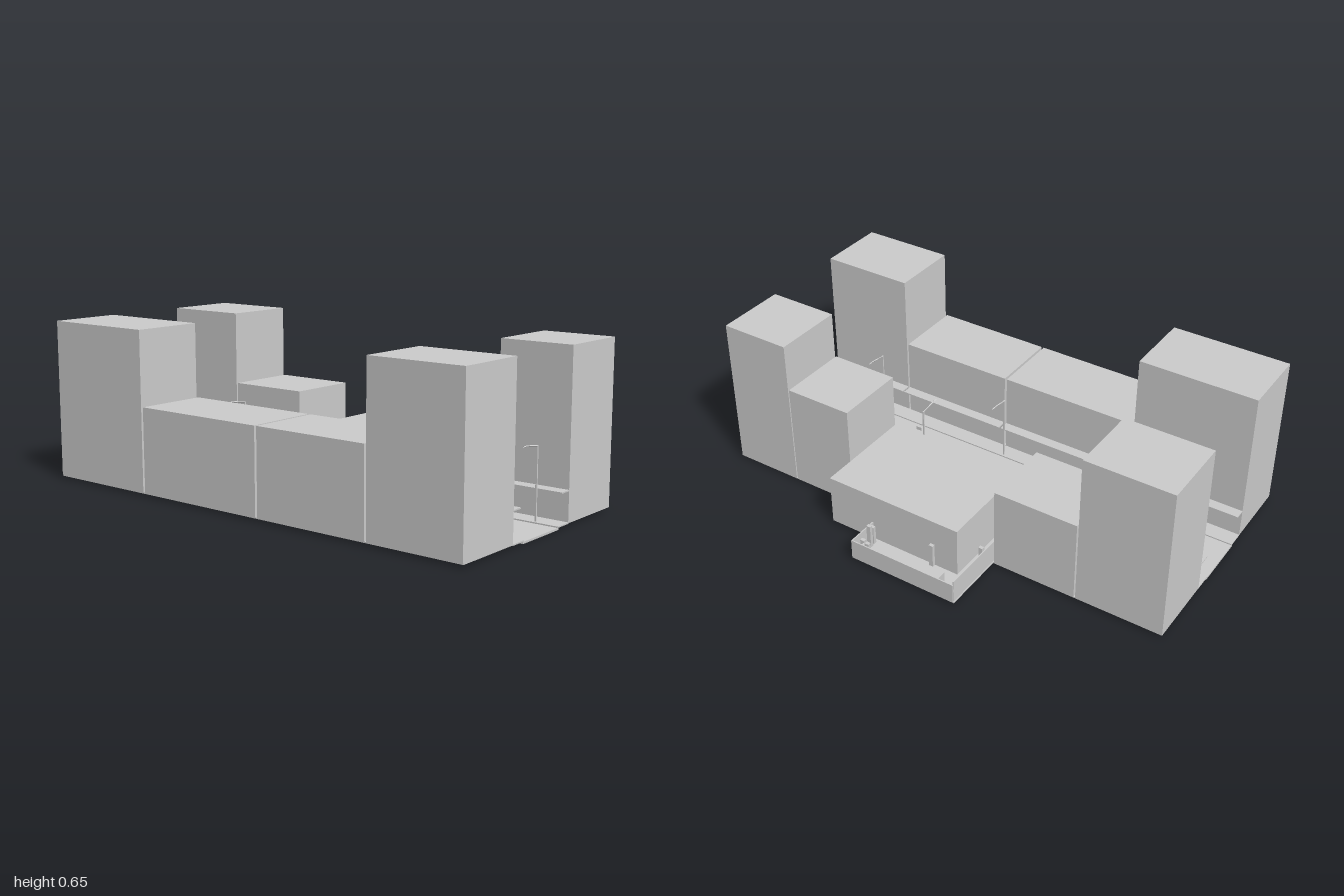
import * as THREE from 'three';

const mat = new THREE.MeshStandardMaterial({ color: 0xcccccc, flatShading: true, side: THREE.DoubleSide });

// Box given by its extents along each axis
function block(parent, name, [x0, x1], [y0, y1], [z0, z1]) {
  const mesh = new THREE.Mesh(new THREE.BoxGeometry(x1 - x0, y1 - y0, z1 - z0), mat);
  mesh.position.set((x0 + x1) / 2, (y0 + y1) / 2, (z0 + z1) / 2);
  mesh.name = name;
  parent.add(mesh);
  return mesh;
}

function group(parent, name) {
  const g = new THREE.Group();
  g.name = name;
  parent.add(g);
  return g;
}

// Street lamp: thin post with a slightly rising arm over the road (dir = +1 or -1 in z)
function streetLamp(parent, x, z, dir) {
  const lamp = group(parent, 'streetLamp');
  block(lamp, 'lampPost', [x - 0.003, x + 0.003], [0.012, 0.292], [z - 0.003, z + 0.003]);
  const path = new THREE.CatmullRomCurve3([[0, 0.29], [0.045, 0.297], [0.07, 0.3], [0.092, 0.3]]
    .map(([d, y]) => new THREE.Vector3(x, y, z + dir * d)));
  const arm = new THREE.Mesh(new THREE.TubeGeometry(path, 6, 0.0025, 4), mat);
  arm.name = 'lampArm';
  lamp.add(arm);
}

export function createModel() {
  const model = new THREE.Group();
  model.name = 'cityStreet';

  // Road, pavements and plots
  const ground = group(model, 'ground');
  block(ground, 'road', [-1, 1], [0, 0.008], [0.02, 0.255]);
  block(ground, 'frontPavement', [-1, 1], [0.008, 0.013], [0.25, 0.32]);
  block(ground, 'backPavement', [-1, 1], [0.008, 0.013], [-0.05, 0.025]);
  block(ground, 'frontPlot', [-1, 1], [0.01, 0.015], [0.32, 0.615]);
  block(ground, 'backPlot', [-1, 1], [0.01, 0.015], [-0.35, -0.05]);
  block(ground, 'yardFloor', [-0.275, 0.2], [0.01, 0.015], [-0.62, -0.35]);

  // Plain buildings with an awning on the street side: x range, height
  const frontRow = [[-1, -0.508, 0.655], [-0.498, 0.09, 0.355], [0.1, 0.595, 0.355], [0.603, 1, 0.655]];
  const backRow = [[-1, -0.638, 0.655], [-0.631, -0.278, 0.355], [0.404, 0.695, 0.455], [0.7, 1, 0.655]];
  for (const [x0, x1, h] of frontRow) {
    block(model, 'frontBuilding', [x0, x1], [0.015, h], [0.32, 0.618]);
    block(model, 'frontAwning', [x0, x1], [0.128, 0.133], [0.275, 0.32]);
  }
  for (const [x0, x1, h] of backRow) {
    block(model, 'backBuilding', [x0, x1], [0.015, h], [-0.35, -0.048]);
    block(model, 'backAwning', [x0, x1], [0.128, 0.133], [-0.048, 0.003]);
  }

  // Low shop with its own awning
  const shop = group(model, 'shop');
  block(shop, 'shopHall', [-0.2, 0.4], [0.013, 0.225], [-0.485, -0.045]);
  block(shop, 'shopAwning', [-0.2, 0.4], [0.118, 0.123], [-0.045, -0.012]);

  // Walled yard behind and beside the shop
  const yard = group(model, 'yard');
  block(yard, 'backWall', [-0.27, 0.2], [0.012, 0.095], [-0.62, -0.615]);
  block(yard, 'leftWall', [0.195, 0.2], [0.012, 0.095], [-0.615, -0.485]);
  block(yard, 'rightWall', [-0.272, -0.267], [0.012, 0.11], [-0.615, -0.05]);
  block(yard, 'dividingWall', [-0.203, -0.2], [0.012, 0.095], [-0.615, -0.575]);

  // Small boxes standing in the yard: x, z, height
  const clutter = [[-0.253, -0.525, 0.06], [-0.253, -0.4, 0.1], [-0.256, -0.33, 0.05], [-0.25, -0.21, 0.07],
    [-0.25, -0.19, 0.05], [-0.256, -0.152, 0.06], [-0.087, -0.492, 0.1], [0.18, -0.53, 0.1], [0.182, -0.508, 0.08],
    [0.13, -0.607, 0.09], [0.15, -0.604, 0.07], [0.165, -0.59, 0.08]];
  for (const [x, z, h] of clutter) {
    block(yard, 'yardBox', [x - 0.009, x + 0.009], [0.015, 0.015 + h], [z - 0.007, z + 0.007]);
  }

  // Stepped display stand in front of the shop
  const stand = group(model, 'displayStand');
  for (let i = 0; i < 4; i++) {
    block(stand, 'standStep', [0.02, 0.06], [0.013, 0.035 + i * 0.008], [-0.014 - i * 0.01, -0.003 - i * 0.01]);
  }

  // Street lamps on both pavements
  for (const x of [-0.735, 0.065, 0.695]) streetLamp(model, x, 0.262, -1);
  for (const x of [-0.535, 0.3, 0.9]) streetLamp(model, x, 0.011, 1);
  // Small signs beside the back lamps
  for (const x of [-0.55, 0.317]) block(model, 'streetSign', [x - 0.012, x + 0.012], [0.2, 0.215], [-0.001, 0.003]);

  // Parked van
  const van = group(model, 'van');
  block(van, 'vanBody', [0.09, 0.248], [0.016, 0.06], [0.028, 0.095]);
  for (const x of [0.12, 0.218]) {
    for (const z of [0.036, 0.087]) {
      const wheel = new THREE.Mesh(new THREE.CylinderGeometry(0.01, 0.01, 0.01, 10), mat);
      wheel.rotation.x = Math.PI / 2;
      wheel.position.set(x, 0.018, z);
      wheel.name = 'vanWheel';
      van.add(wheel);
    }
  }

  return model;
}
